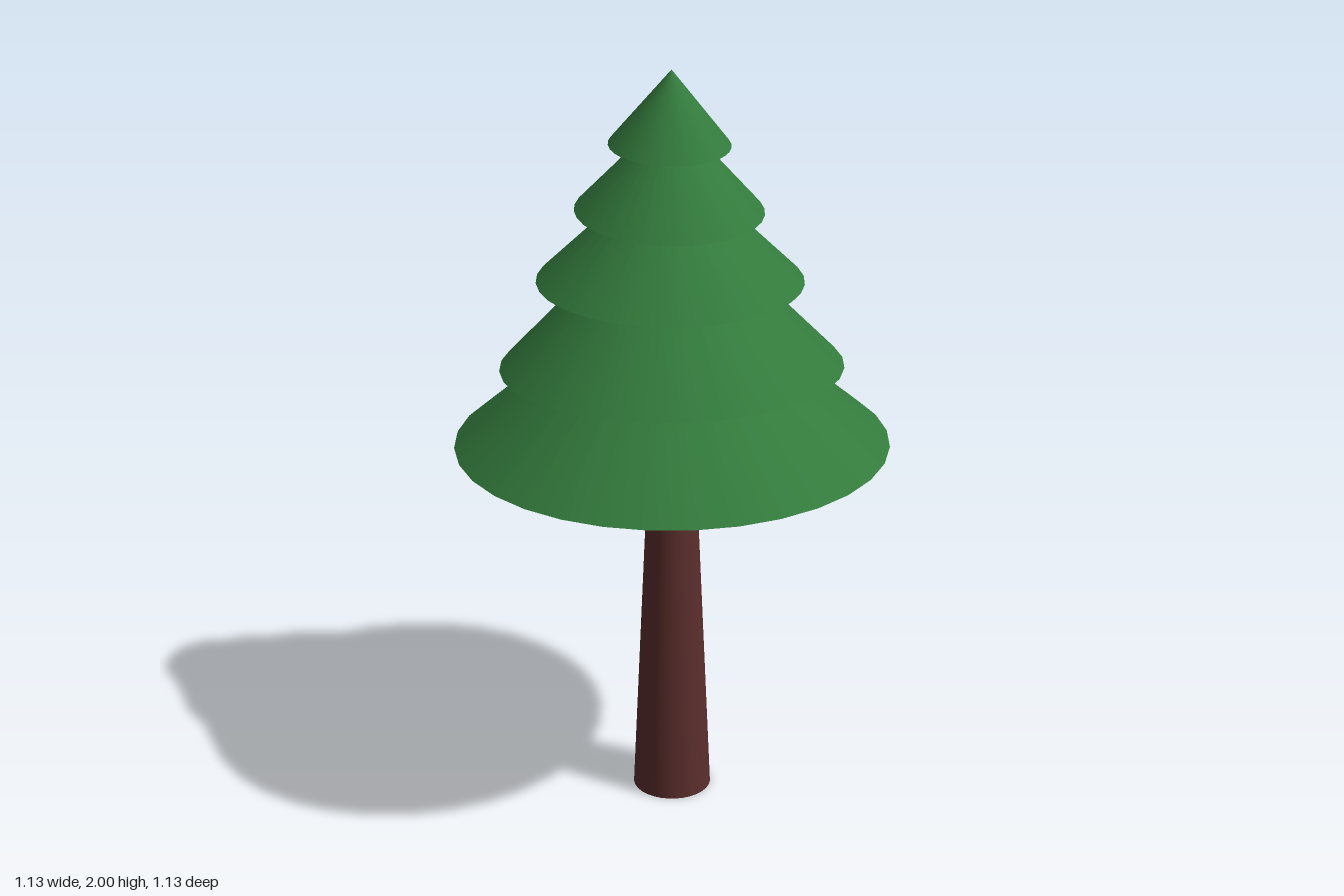
import * as THREE from 'three';

export function createModel() {
  const tree = new THREE.Group();
  tree.name = 'pineTree';

  const bark = new THREE.MeshStandardMaterial({ color: 0x5a2e2c });
  const needles = new THREE.MeshStandardMaterial({ color: 0x337a3c });

  // Tapered trunk, its top hidden inside the lowest tier
  const trunkGeometry = new THREE.CylinderGeometry(0.056, 0.105, 1.1, 32);
  trunkGeometry.translate(0, 0.55, 0);
  const trunk = new THREE.Mesh(trunkGeometry, bark);
  trunk.name = 'trunk';
  tree.add(trunk);

  // Overlapping foliage cones, each tipped slightly about its base centre
  const tiers = [
    { radius: 0.565, height: 0.485, y: 1.018, z: 0, tiltX: 0, tiltZ: 0.005 },
    { radius: 0.442, height: 0.45, y: 1.23, z: 0.008, tiltX: -0.042, tiltZ: 0 },
    { radius: 0.341, height: 0.33, y: 1.455, z: -0.005, tiltX: 0.015, tiltZ: 0 },
    { radius: 0.24, height: 0.265, y: 1.637, z: -0.012, tiltX: 0.077, tiltZ: 0 },
    { radius: 0.154, height: 0.194, y: 1.807, z: -0.01, tiltX: 0.085, tiltZ: 0 },
  ];
  tiers.forEach(({ radius, height, y, z, tiltX, tiltZ }, i) => {
    const geometry = new THREE.ConeGeometry(radius, height, 32);
    geometry.translate(0, height / 2, 0);
    const tier = new THREE.Mesh(geometry, needles);
    tier.name = `foliageTier${i + 1}`;
    tier.position.set(i === 0 ? 0 : -0.003, y, z);
    tier.rotation.set(tiltX, 0, tiltZ);
    tree.add(tier);
  });

  return tree;
}
